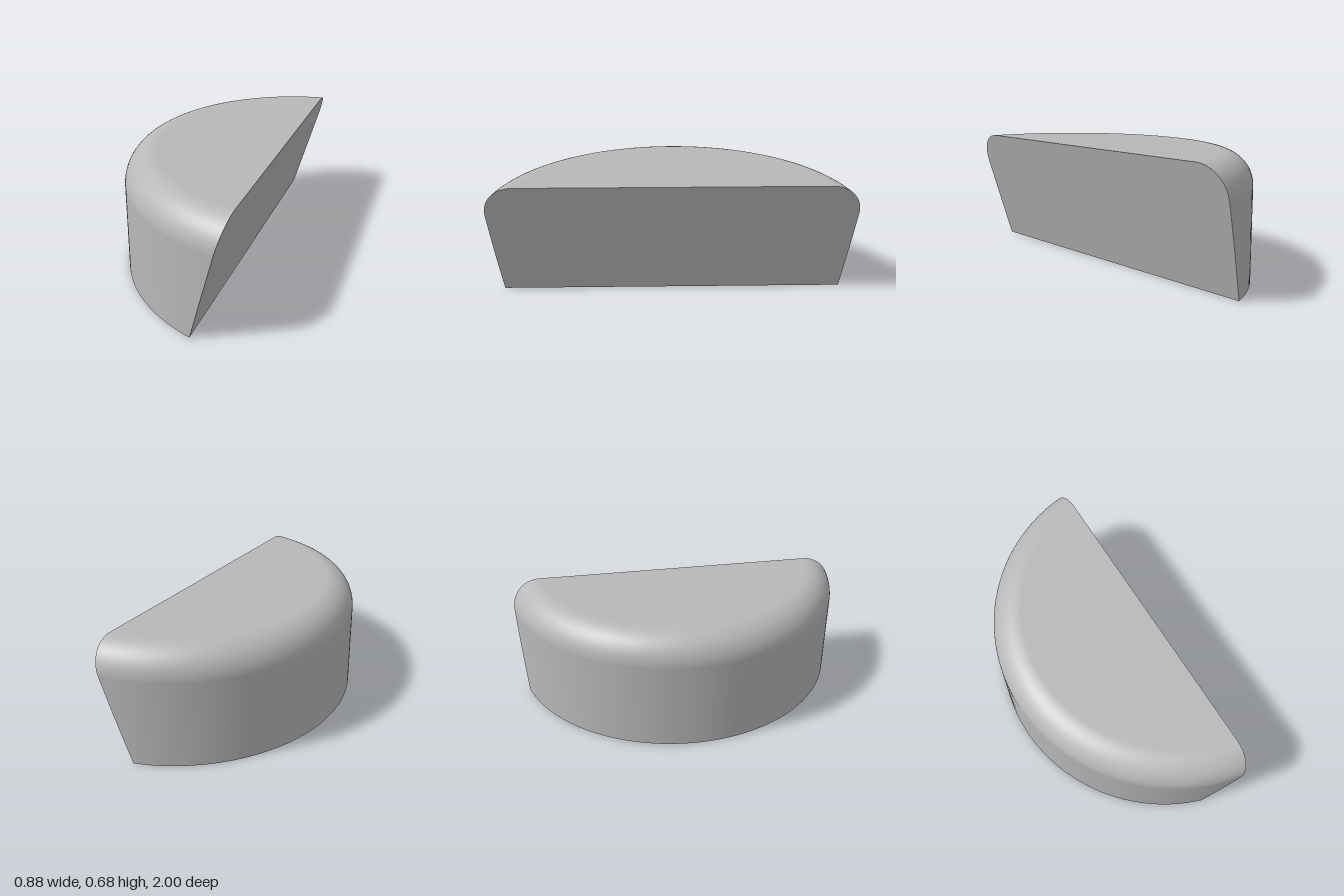
import * as THREE from 'three';

const R = 1.016;            // radius of the round wall
const CX = R - 0.44;        // x of its axis
const HEIGHT = 0.678;
const FILLET = 0.17;        // rounded upper rim
const SEGMENTS = 96, RIM_STEPS = 16;

// Slanted plane that slices the round body
const cutX = (y) => 0.258 + 0.268 * y;

// Profile rows: radius, height and the normal's radial / vertical share
function profile() {
  const rows = [];
  for (let i = 0; i < 6; i++) {
    rows.push({ r: R, y: ((HEIGHT - FILLET) * i) / 6, nr: 1, ny: 0 });
  }
  for (let i = 0; i <= RIM_STEPS; i++) {
    const a = (i / RIM_STEPS) * Math.PI / 2;
    const nr = Math.cos(a), ny = Math.sin(a);
    rows.push({ r: R - FILLET + FILLET * nr, y: HEIGHT - FILLET + FILLET * ny, nr, ny });
  }
  return rows;
}

// One arc per row, ending on the slanted plane at both sides
function arc(row) {
  const half = Math.acos((CX - cutX(row.y)) / row.r);
  return Array.from({ length: SEGMENTS + 1 }, (_, j) => {
    const t = half * ((2 * j) / SEGMENTS - 1);
    return {
      p: new THREE.Vector3(CX - row.r * Math.cos(t), row.y, row.r * Math.sin(t)),
      n: new THREE.Vector3(-row.nr * Math.cos(t), row.ny, row.nr * Math.sin(t)),
    };
  });
}

function wallGeometry(arcs) {
  const pos = [], nor = [], index = [], w = SEGMENTS + 1;
  arcs.forEach((points, i) => points.forEach(({ p, n }, j) => {
    pos.push(p.x, p.y, p.z);
    nor.push(n.x, n.y, n.z);
    if (i < arcs.length - 1 && j < SEGMENTS) {
      const a = i * w + j;
      index.push(a, a + 1, a + w, a + 1, a + w + 1, a + w);
    }
  }));
  const g = new THREE.BufferGeometry();
  g.setAttribute('position', new THREE.Float32BufferAttribute(pos, 3));
  g.setAttribute('normal', new THREE.Float32BufferAttribute(nor, 3));
  g.setIndex(index);
  return g;
}

// Flat convex face from an outline
function faceGeometry(outline) {
  const pos = [];
  for (let i = 1; i < outline.length - 1; i++) {
    for (const p of [outline[0], outline[i], outline[i + 1]]) pos.push(p.x, p.y, p.z);
  }
  const g = new THREE.BufferGeometry();
  g.setAttribute('position', new THREE.Float32BufferAttribute(pos, 3));
  g.computeVertexNormals();
  return g;
}

export function createModel() {
  const grey = new THREE.MeshStandardMaterial({ color: 0xb8b8b8 });
  grey.name = 'plain grey';
  const model = new THREE.Group();
  model.name = 'roundedHalfDisc';
  const add = (name, geometry) => {
    const mesh = new THREE.Mesh(geometry, grey);
    mesh.name = name;
    model.add(mesh);
  };

  const arcs = profile().map(arc);
  const points = (a) => a.map((v) => v.p);

  // Curved wall with its rounded rim
  add('curvedWall', wallGeometry(arcs));
  // Flat top and underside
  add('topFace', faceGeometry(points(arcs[arcs.length - 1])));
  add('underside', faceGeometry(points(arcs[0]).reverse()));
  // Slanted flat face: up one end of the wall, down the other
  const rising = arcs.map((a) => a[0].p);
  const falling = arcs.map((a) => a[SEGMENTS].p).reverse();
  add('slantedFace', faceGeometry([...rising, ...falling]));

  return model;
}
